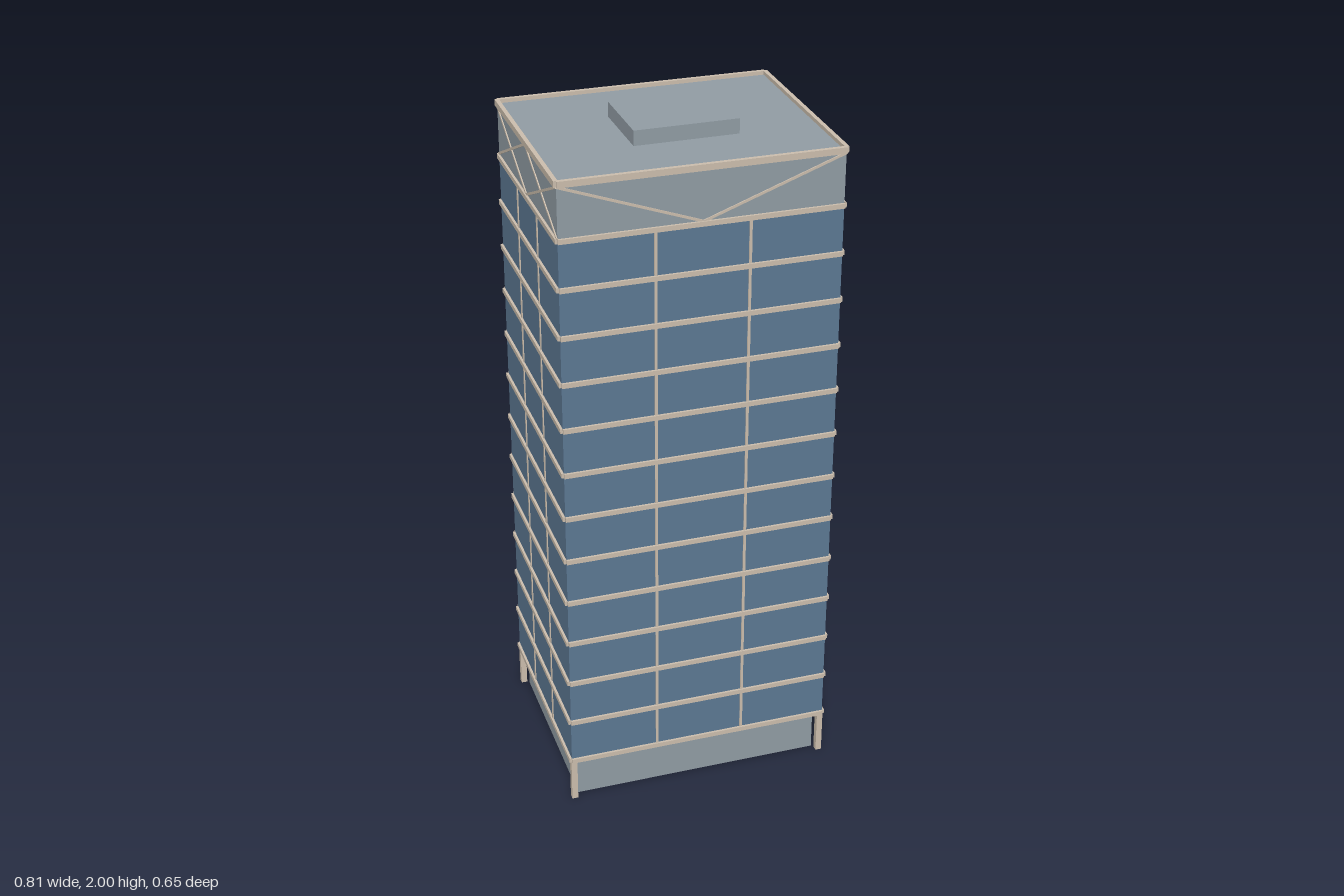
import * as THREE from 'three';

export function createModel() {
  const model = new THREE.Group();
  model.name = 'officeTower';

  const mat = (name, color, side = THREE.FrontSide) => {
    const m = new THREE.MeshStandardMaterial({ color, side });
    m.name = name;
    return m;
  };
  const glass = mat('blueGlass', 0x5d7994);
  const grey = mat('greyPanel', 0x929da5, THREE.DoubleSide);
  const stone = mat('beigeTrim', 0xcdbfae);

  const box = (parent, name, material, w, h, d, x, y, z) => {
    const mesh = new THREE.Mesh(new THREE.BoxGeometry(w, h, d), material);
    mesh.name = name;
    mesh.position.set(x, y, z);
    parent.add(mesh);
    return mesh;
  };

  const HX = 0.394, HZ = 0.314;            // half sizes of the shaft
  const FLOOR0 = 0.14, STEP = 0.1385, FLOORS = 12;
  const CROWN0 = FLOOR0 + STEP * FLOORS, ROOF = 1.957;

  // The tower stands very slightly turned on its plot
  const tower = new THREE.Group();
  tower.name = 'tower';
  tower.rotation.y = -0.009;
  model.add(tower);

  // Glass shaft and grey crown
  box(tower, 'glassShaft', glass, HX * 2, CROWN0 - FLOOR0, HZ * 2, 0, (FLOOR0 + CROWN0) / 2, 0);
  box(tower, 'crown', grey, HX * 2, ROOF - CROWN0, HZ * 2, 0, (ROOF + CROWN0) / 2, 0);

  // Slab under the shaft, seen as the lobby ceiling
  box(tower, 'lobbyCeiling', stone, HX * 2, 0.008, HZ * 2, 0, FLOOR0 - 0.003, 0);

  // Recessed lobby walls, open underneath
  const LX = 0.372, LZ = 0.292;
  for (const s of [-1, 1]) {
    const wide = new THREE.Mesh(new THREE.PlaneGeometry(LX * 2, FLOOR0), grey);
    wide.name = 'lobbyWall';
    wide.position.set(0, FLOOR0 / 2, s * LZ);
    wide.rotation.y = s > 0 ? 0 : Math.PI;
    const side = new THREE.Mesh(new THREE.PlaneGeometry(LZ * 2, FLOOR0), grey);
    side.name = 'lobbyWall';
    side.position.set(s * LX, FLOOR0 / 2, 0);
    side.rotation.y = s * Math.PI / 2;
    tower.add(wide, side);
    // Corner columns
    for (const t of [-1, 1]) {
      box(tower, 'cornerColumn', stone, 0.018, FLOOR0, 0.018, s * (HX - 0.007), FLOOR0 / 2, t * (HZ - 0.007));
    }
  }

  // Trim of one side, drawn in a local frame that faces +z
  const addSide = (name, angle, half, dist, braces) => {
    const side = new THREE.Group();
    side.name = name;
    side.rotation.y = angle;
    tower.add(side);
    for (let i = 0; i <= FLOORS; i++) {
      box(side, 'floorBand', stone, half * 2, 0.014, 0.008, 0, FLOOR0 + i * STEP, dist + 0.003);
    }
    box(side, 'parapetRail', stone, half * 2, 0.018, 0.012, 0, 1.959, dist + 0.001);
    for (const s of [-1, 1]) {
      box(side, 'mullion', stone, 0.008, CROWN0 - FLOOR0, 0.004, s * half / 3, (FLOOR0 + CROWN0) / 2, dist + 0.001);
    }
    // Diagonal braces on the crown
    const low = CROWN0 + 0.006, high = 1.951;
    for (const [a, ya, b, yb] of braces) {
      const dx = (b - a) * half, dy = (yb - ya) * (high - low);
      const brace = box(side, 'crownBrace', stone, Math.hypot(dx, dy), 0.007, 0.004,
        (a + b) / 2 * half, low + (ya + yb) / 2 * (high - low), dist + 0.001);
      brace.rotation.z = Math.atan2(dy, dx);
    }
  };
  const vee = [[-1, 1, 0, 0], [0, 0, 1, 1]];
  const crosses = [[-1, 1, 0, 0], [-1, 0, 0, 1], [0, 0, 1, 1], [0, 1, 1, 0]];
  addSide('frontTrim', 0, HX, HZ, vee);
  addSide('backTrim', Math.PI, HX, HZ, vee);
  addSide('leftTrim', Math.PI / 2, HZ, HX, crosses);
  addSide('rightTrim', -Math.PI / 2, HZ, HX, crosses);

  // Plant room on the roof
  box(model, 'roofPlantRoom', grey, 0.297, 2 - ROOF, 0.231, 0.018, (2 + ROOF) / 2, -0.001);

  return model;
}
